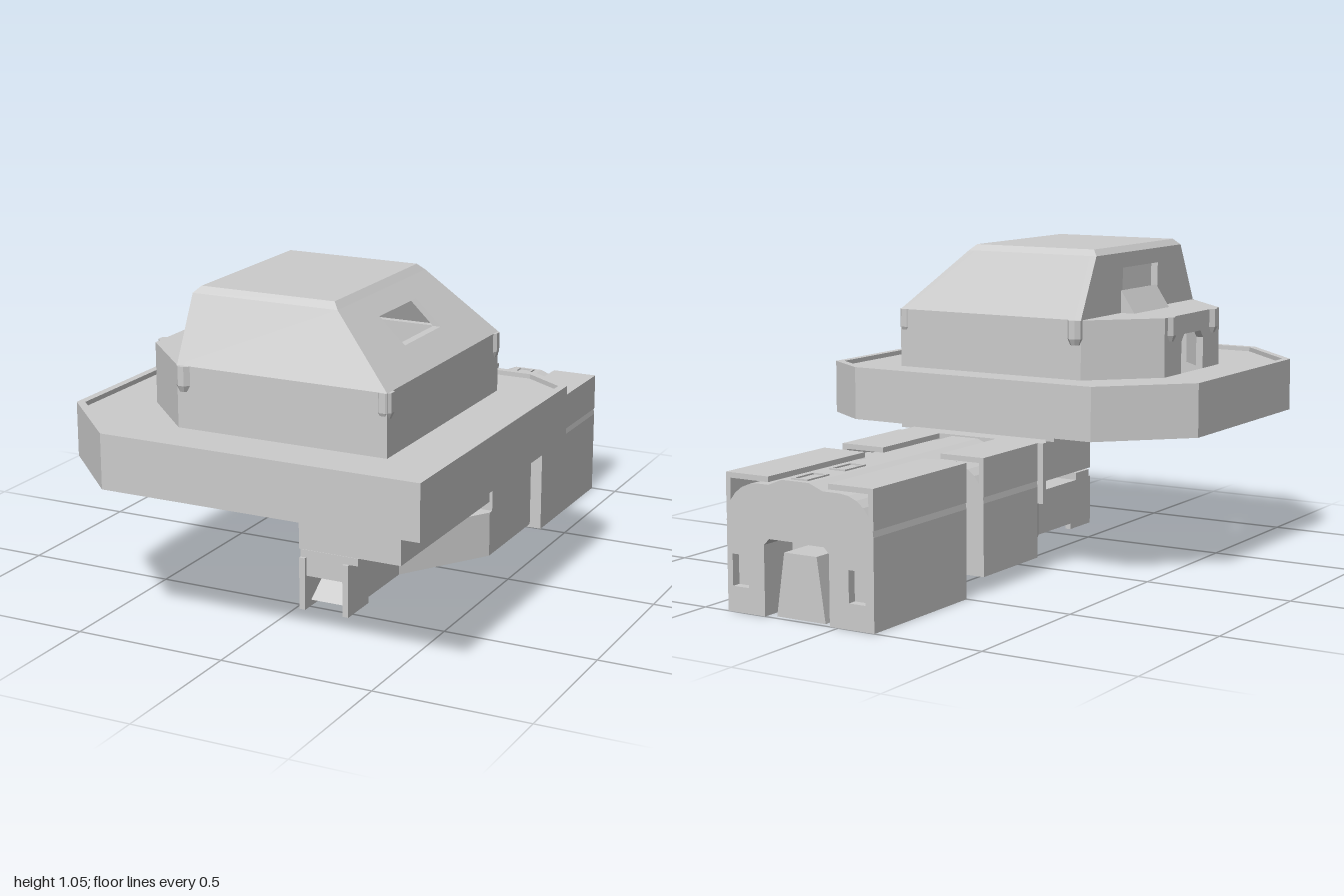
import * as THREE from 'three';

const mat = new THREE.MeshStandardMaterial({ color: 0xcccccc, flatShading: true, side: THREE.DoubleSide });

const poly = (pts, Type = THREE.Shape) => new Type(pts.map(([a, b]) => new THREE.Vector2(a, b)));
const rect = (a0, b0, a1, b1) => [[a0, b0], [a1, b0], [a1, b1], [a0, b1]];

function extrude(pts, depth, holes = []) {
  const shape = poly(pts);
  holes.forEach(h => shape.holes.push(poly(h, THREE.Path)));
  return new THREE.ExtrudeGeometry(shape, { depth, bevelEnabled: false });
}

export function createModel() {
  const model = new THREE.Group();
  const add = (name, geo) => {
    const mesh = new THREE.Mesh(geo, mat);
    mesh.name = name;
    model.add(mesh);
    return mesh;
  };
  // Outline in (x, z), raised from y0 to y1
  const plan = (name, pts, y0, y1, holes = []) => {
    const flip = p => p.map(([x, z]) => [x, -z]);
    return add(name, extrude(flip(pts), y1 - y0, holes.map(flip)).rotateX(-Math.PI / 2).translate(0, y0, 0));
  };
  // Outline in (x, y), run from z0 to z1
  const along = (name, pts, z0, z1, holes) => add(name, extrude(pts, z1 - z0, holes).translate(0, 0, z0));
  // Outline in (z, y), run from x0 to x1
  const across = (name, pts, x0, x1, holes) =>
    add(name, extrude(pts, x1 - x0, holes).rotateY(-Math.PI / 2).translate(x1, 0, 0));
  const box = (name, x0, x1, y0, y1, z0, z1) =>
    add(name, new THREE.BoxGeometry(x1 - x0, y1 - y0, z1 - z0)
      .translate((x0 + x1) / 2, (y0 + y1) / 2, (z0 + z1) / 2));
  const quad = (name, a, b, c, d) => {
    const g = new THREE.BufferGeometry();
    g.setAttribute('position', new THREE.Float32BufferAttribute([a, b, c, a, c, d].flat(), 3));
    g.computeVertexNormals();
    return add(name, g);
  };

  // Platform: open underneath, with a low rim around the deck
  const outer = [[-0.4, -0.2], [0.5, -0.2], [0.65, -0.1], [0.65, 1], [-0.4, 1], [-0.65, 0.75], [-0.65, 0.05]];
  const inner = [[-0.39, -0.175], [0.49, -0.175], [0.625, -0.085], [0.625, 0.975], [-0.39, 0.975], [-0.625, 0.74], [-0.625, 0.06]];
  const cabin = [[-0.25, 0], [0.45, 0], [0.45, 0.8], [-0.25, 0.8], [-0.45, 0.6], [-0.45, 0.2]];
  plan('platformRim', outer, 0.475, 0.65, [inner]);
  plan('deck', inner, 0.61, 0.635, [cabin]);

  // Cabin walls, one panel per side; the side bay has a doorway
  cabin.forEach(([x0, z0], i) => {
    const [x1, z1] = cabin[(i + 1) % cabin.length];
    const len = Math.hypot(x1 - x0, z1 - z0);
    const door = i === 4;
    const outline = door
      ? [[0, 0.61], [0.12, 0.61], [0.12, 0.74], [0.14, 0.765], [0.26, 0.765], [0.28, 0.74], [0.28, 0.61], [0.4, 0.61], [0.4, 0.83], [0, 0.83]]
      : rect(0, 0.61, len, 0.83);
    const wall = add('cabinWall', extrude(outline, 0.025));
    wall.position.set(x0, 0, z0);
    wall.rotation.y = -Math.atan2(z1 - z0, x1 - x0);
  });
  plan('bayRoof', [[-0.25, 0], [-0.25, 0.8], [-0.45, 0.6], [-0.45, 0.2]], 0.81, 0.83);
  plan('lowerSkirt', rect(-0.2, 0, 0.45, 0.8), 0.45, 0.63, [rect(-0.175, 0.025, 0.425, 0.775)]);
  plan('lowerSkirtLip', rect(-0.15, 0, 0.45, 0.8), 0.425, 0.45, [rect(-0.125, 0.025, 0.425, 0.775)]);

  // Roof sides with window openings; the +x side leans inward
  const gable = [[0, 0.83], [0.8, 0.83], [0.7, 1.03], [0.1, 1.03]];
  const opening = [rect(0.28, 0.9, 0.53, 0.98)];
  across('roofWindowWall', gable, -0.25, -0.225, opening);
  const slope = across('roofWindowSlope', gable, 0.425, 0.45, opening).geometry;
  const p = slope.attributes.position;
  for (let i = 0; i < p.count; i++) p.setX(i, p.getX(i) - (p.getY(i) - 0.83) * 1.05);
  slope.computeVertexNormals();

  // Remaining roof faces, lofted between three rings
  const rings = [
    [-0.25, 0.45, 0.83, 0, 0.8], [-0.25, 0.24, 1.03, 0.1, 0.7], [-0.23, 0.22, 1.05, 0.12, 0.68],
  ].map(([x0, x1, y, z0, z1]) => [[x0, y, z1], [x1, y, z1], [x1, y, z0], [x0, y, z0]]);
  for (let r = 0; r < 2; r++) {
    for (let s = 0; s < 4; s++) {
      if (r === 0 && s % 2) continue;
      const t = (s + 1) % 4;
      quad('roofFace', rings[r][s], rings[r][t], rings[r + 1][t], rings[r + 1][s]);
    }
  }
  quad('roofTop', ...rings[2]);
  along('windowSill', [[-0.3, 0.83], [-0.25, 0.83], [-0.25, 0.905]], 0.27, 0.52);

  // Small faceted clips at the cabin corners and beside the doorway
  const clips = [[-0.23, 0], [0.435, 0.02], [-0.23, 0.79], [0.435, 0.78], [-0.44, 0.245], [-0.44, 0.55]];
  for (const [x, z] of clips) {
    add('cornerClip', new THREE.CylinderGeometry(0.026, 0.026, 0.06, 8).rotateY(Math.PI / 8).translate(x, 0.8, z));
    add('cornerClipBase', new THREE.CylinderGeometry(0.026, 0.017, 0.02, 8).rotateY(Math.PI / 8).translate(x, 0.76, z));
  }

  // Support arm: rounded core with a trapezoid ridge, beneath two shoulder plates
  const coreTop = [];
  for (let i = 0; i <= 6; i++) {
    const a = (i / 6) * Math.PI / 2;
    coreTop.push([0.29 + 0.12 * Math.cos(a), 0.285 + 0.12 * Math.sin(a)]);
  }
  coreTop.push([0.25, 0.405], [0.2, 0.425], [0.1, 0.425], [0.05, 0.405]);
  for (let i = 0; i <= 6; i++) {
    const a = (1 + i / 6) * Math.PI / 2;
    coreTop.push([-0.01 + 0.12 * Math.cos(a), 0.285 + 0.12 * Math.sin(a)]);
  }
  const core = y => [[-0.13, y], [0.41, y], ...coreTop];
  const slotted = [[-0.13, 0], [0.03, 0], [0.03, 0.22], [0.05, 0.24], [0.25, 0.24], [0.27, 0.22], [0.27, 0], [0.41, 0], ...coreTop];
  along('armEnd', slotted, -1, -0.97, [rect(-0.1, 0.08, -0.04, 0.18), rect(0.33, 0.08, 0.39, 0.18)]);
  along('armSlotSection', slotted, -0.97, -0.86);
  along('armRearCore', core(0), -0.86, -0.5);
  along('armSlotTongue', [[0.06, 0], [0.24, 0], [0.21, 0.2], [0.09, 0.2]], -0.98, -0.86);
  along('armFrontCore', core(0.05), -0.4, -0.07);

  for (const [z0, z1] of [[-1, -0.5], [-0.4, -0.07]]) {
    for (const s of [-1, 1]) {
      const m = d => 0.14 + s * d;
      along('shoulderPlate', [[m(0.27), 0.305], [m(0.27), 0.43], [m(0.11), 0.43], [m(0.11), 0.413], [m(0.253), 0.413], [m(0.253), 0.305]], z0, z1);
    }
  }
  // Narrow neck between the two arm sections, with a cross slot
  across('armNeck', [[-0.5, 0], [-0.4, 0.05], [-0.4, 0.41], [-0.5, 0.41]], -0.03, 0.31, [rect(-0.45, 0.215, -0.42, 0.235)]);
  along('neckRidge', [[0.05, 0.405], [0.25, 0.405], [0.2, 0.425], [0.1, 0.425]], -0.5, -0.4);

  // Raised window frames on the ridge and the arm sides
  for (const z of [-0.925, -0.735])
    plan('ridgeFrame', rect(0.12, z - 0.055, 0.18, z + 0.055), 0.42, 0.43, [rect(0.128, z - 0.047, 0.172, z + 0.047)]);
  for (const x of [-0.035, 0.31])
    across('neckFrame', rect(-0.48, 0.28, -0.42, 0.38), x, x + 0.005, [rect(-0.472, 0.288, -0.428, 0.372)]);
  across('gripFrame', rect(-0.06, 0.28, -0.01, 0.38), 0.4, 0.406, [rect(-0.052, 0.288, -0.018, 0.372)]);

  // Upper grip, flaring toward the arm on one side
  plan('upperGrip', [[0.05, 0.6], [0.4, 0.6], [0.4, -0.07], [-0.15, -0.07], [-0.15, -0.05], [0.04, 0.25], [0.05, 0.25]], 0.23, 0.43);
  for (const z of [0.2, 0.55]) box('gripTab', 0.4, 0.408, 0.38, 0.43, z, z + 0.05);

  // Lower tongue with a forked tip
  plan('lowerTongue', [[0.05, 0.47], [0.22, 0.47], [0.22, 0.24], [0.41, -0.05], [0.41, -0.07], [-0.1, -0.07], [-0.1, -0.05], [0.05, 0.24]], 0.05, 0.2);
  for (const x of [0.05, 0.2]) box('tongueProng', x, x + 0.02, 0.03, 0.2, 0.46, 0.6);
  box('tongueCrossbar', 0.07, 0.2, 0.14, 0.2, 0.47, 0.59);
  across('tongueRamp', [[0.47, 0.05], [0.56, 0.05], [0.47, 0.11]], 0.07, 0.2);
  box('tongueLatch', 0.05, 0.25, 0.2, 0.225, 0.5, 0.59);

  return model;
}
